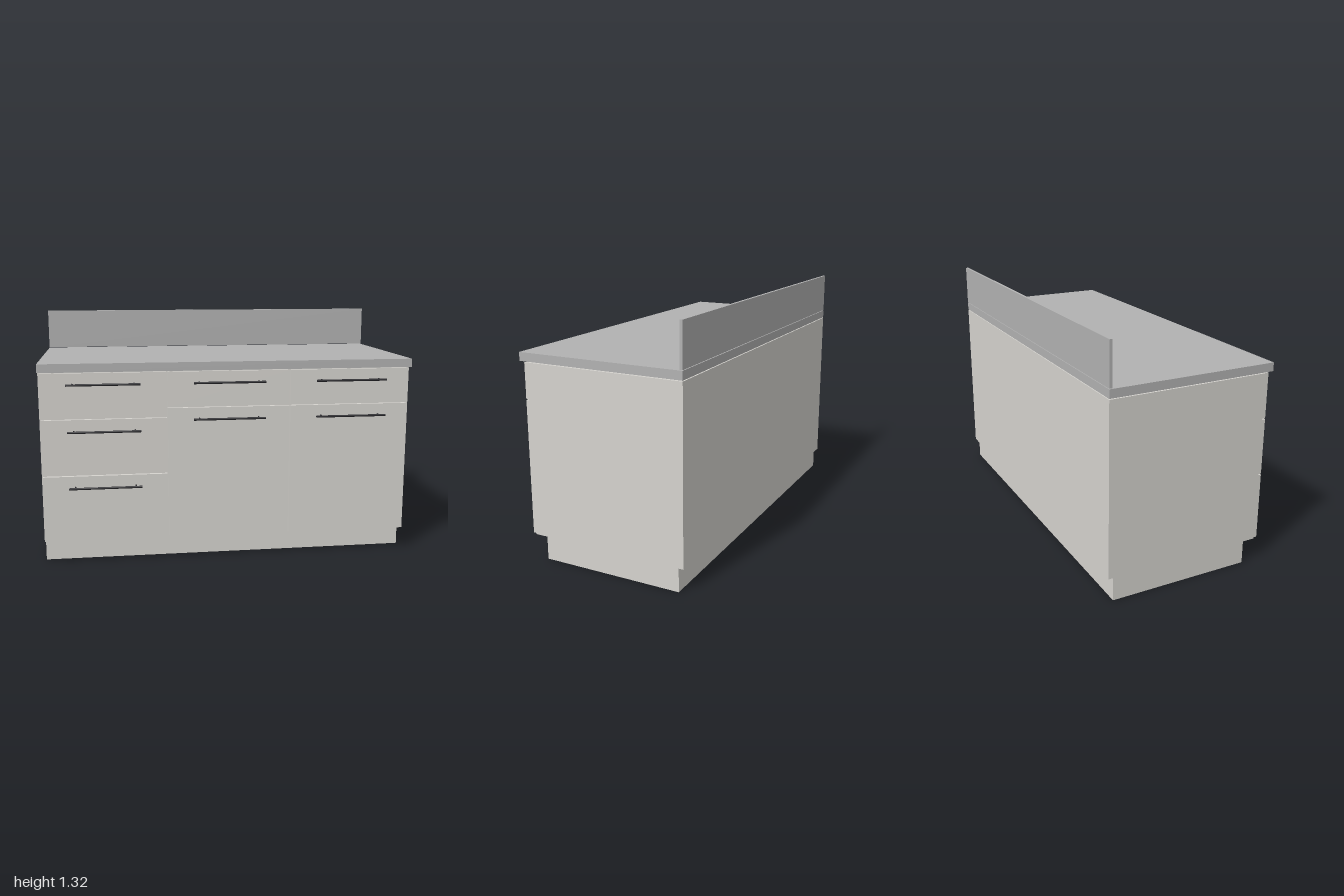
import * as THREE from 'three';

const cabinetMat = new THREE.MeshStandardMaterial({ color: 0xd6d4cf });
const counterMat = new THREE.MeshStandardMaterial({ color: 0xb2b2b2 });
const handleMat = new THREE.MeshStandardMaterial({ color: 0x2a2a2e });

// Box given by its extents on each axis
function box(name, mat, [x0, x1], [y0, y1], [z0, z1]) {
  const mesh = new THREE.Mesh(new THREE.BoxGeometry(x1 - x0, y1 - y0, z1 - z0), mat);
  mesh.position.set((x0 + x1) / 2, (y0 + y1) / 2, (z0 + z1) / 2);
  mesh.name = name;
  return mesh;
}

// Round bar held off the front by two posts
function makeHandle(x, y) {
  const handle = new THREE.Group();
  handle.name = 'handle';
  const bar = new THREE.Mesh(new THREE.CylinderGeometry(0.006, 0.006, 0.385, 16), handleMat);
  bar.name = 'handleBar';
  bar.rotation.z = Math.PI / 2;
  bar.position.z = 0.459;
  handle.add(bar);
  for (const side of [-1, 1]) {
    const post = new THREE.Mesh(new THREE.CylinderGeometry(0.0045, 0.0045, 0.034, 12), handleMat);
    post.name = 'handlePost';
    post.rotation.x = Math.PI / 2;
    post.position.set(side * 0.16, 0, 0.442);
    handle.add(post);
  }
  handle.position.set(x, y, 0);
  return handle;
}

export function createModel() {
  const model = new THREE.Group();
  model.name = 'kitchenBaseCabinet';

  // Body, recessed plinth and worktop
  model.add(
    box('plinth', cabinetMat, [-1, 1], [0, 0.125], [-0.44, 0.333]),
    box('carcass', cabinetMat, [-1, 1], [0.125, 1.043], [-0.465, 0.403]),
    box('countertop', counterMat, [-1, 1], [1.047, 1.092], [-0.465, 0.448]),
    box('backsplash', counterMat, [-1, 1], [1.095, 1.32], [-0.465, -0.45])
  );

  // Three columns of fronts: [name, bottom, top, handle height]
  const doorColumn = [['drawerFront', 0.852, 1.04, 0.982], ['door', 0.127, 0.846, 0.787]];
  const drawerColumn = [
    ['drawerFront', 0.8, 1.04, 0.982],
    ['drawerFront', 0.495, 0.794, 0.733],
    ['drawerFront', 0.127, 0.489, 0.43],
  ];
  [drawerColumn, doorColumn, doorColumn].forEach((column, i) => {
    const x = (i - 1) * 0.664;
    for (const [name, y0, y1, handleY] of column) {
      model.add(box(name, cabinetMat, [x - 0.329, x + 0.329], [y0, y1], [0.406, 0.425]));
      model.add(makeHandle(x, handleY));
    }
  });

  return model;
}
